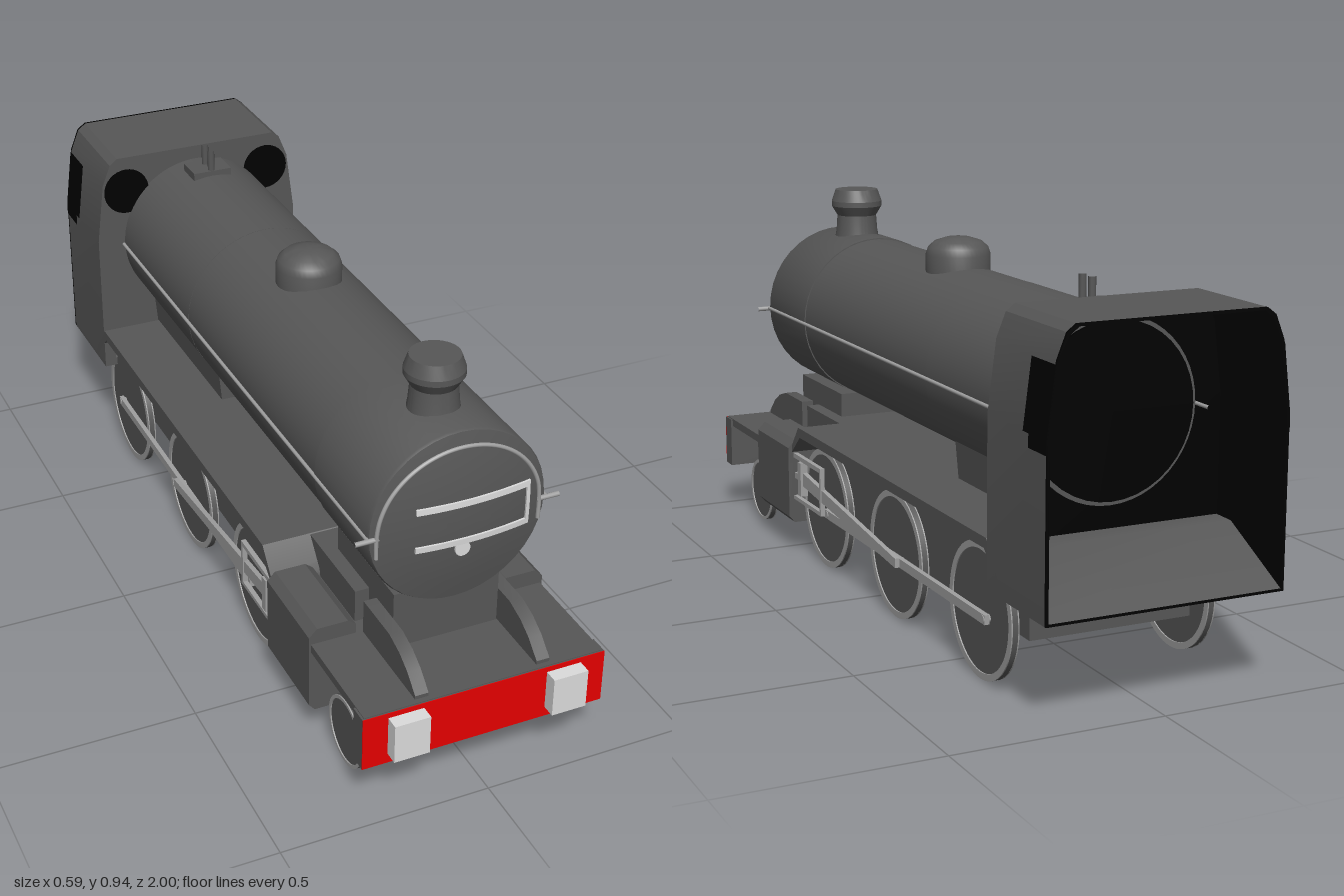
import * as THREE from 'three';
import { toCreasedNormals } from 'three/addons/utils/BufferGeometryUtils.js';

const mat = (name, color) => {
  const m = new THREE.MeshStandardMaterial({ color });
  m.name = name;
  return m;
};

export function createModel() {
  const dark = mat('dark grey paint', 0x575757);
  const black = mat('black', 0x000000);
  const red = mat('red paint', 0xe60000);
  const light = mat('light grey', 0xdcdcdc);
  const steel = mat('steel', 0xa0a0a0);

  const model = new THREE.Group();
  model.name = 'steamLocomotive';

  // ---- helpers ----
  const add = (name, geo, material) => {
    const m = new THREE.Mesh(geo, material);
    m.name = name;
    model.add(m);
    return m;
  };
  // box given by its limits
  const box = (name, material, x0, x1, y0, y1, z0, z1) =>
    add(name, new THREE.BoxGeometry(x1 - x0, y1 - y0, z1 - z0)
      .translate((x0 + x1) / 2, (y0 + y1) / 2, (z0 + z1) / 2), material);
  const poly = pts => new THREE.Shape(pts.map(p => new THREE.Vector2(p[0], p[1])));
  // extrude an (x, y) shape from z0 to z1
  const alongZ = (shape, z0, z1) => toCreasedNormals(
    new THREE.ExtrudeGeometry(shape, { depth: z1 - z0, bevelEnabled: false, curveSegments: 32 })
      .translate(0, 0, z0), 0.5);
  // extrude a (z, y) shape from x0 to x1
  const alongX = (shape, x0, x1) => toCreasedNormals(
    new THREE.ExtrudeGeometry(shape, { depth: x1 - x0, bevelEnabled: false, curveSegments: 32 })
      .rotateY(-Math.PI / 2).translate(x1, 0, 0), 0.5);
  const lathe = (pts, crease) => toCreasedNormals(
    new THREE.LatheGeometry(pts.map(p => new THREE.Vector2(p[0], p[1])), 40), crease);
  // round bar between two points
  const bar = (name, material, a, b, r) => {
    const p = new THREE.Vector3(...a), q = new THREE.Vector3(...b);
    add(name, new THREE.TubeGeometry(new THREE.LineCurve3(p, q), 1, r, 10), material);
  };

  // ---- boiler, smokebox and firebox ----
  const cy = 0.604;
  const doorZ = r => 0.831 - 0.6 * r * r;
  add('boiler', new THREE.CylinderGeometry(0.21, 0.21, 1.29, 48)
    .rotateX(Math.PI / 2).translate(0, cy, -0.105), dark);
  const door = [0.21, 0.16, 0.11, 0.06, 0].map(r => [r, doorZ(r)]);
  add('smokebox', lathe([[0, 0.53], [0.213, 0.53], [0.213, 0.798], ...door], 0.6)
    .rotateX(Math.PI / 2).translate(0, cy, 0), dark);
  const fire = new THREE.Shape();
  fire.moveTo(-0.125, 0.34);
  fire.lineTo(0.125, 0.34);
  fire.absarc(0, cy, 0.2105, -0.88, Math.PI + 0.88, false);
  fire.lineTo(-0.125, 0.34);
  add('firebox', alongZ(fire, -0.735, -0.25), dark);

  // ---- boiler fittings ----
  add('chimney', lathe([[0.062, 0.79], [0.056, 0.825], [0.053, 0.865], [0.068, 0.89], [0.068, 0.904], [0.057, 0.935], [0, 0.935]], 0.3)
    .translate(0, 0, 0.675), dark);
  add('dome', lathe([[0.08, 0.78], [0.08, 0.842], [0.074, 0.86], [0.058, 0.874], [0.03, 0.883], [0, 0.885]], 0.6)
    .translate(0, 0, 0.02), dark);
  box('valveBase', dark, -0.052, 0.052, 0.8, 0.828, -0.68, -0.605);
  for (const z of [-0.615, -0.658]) bar('safetyValve', dark, [0, 0.82, z], [0, 0.882, z], 0.009);

  // ---- smokebox door straps and knob, bent to the door ----
  const strap = (name, x0, x1, y0, y1) => {
    const g = new THREE.BoxGeometry(x1 - x0, y1 - y0, 0.008, 12, 6, 1)
      .translate((x0 + x1) / 2, (y0 + y1) / 2, 0);
    const p = g.attributes.position;
    for (let i = 0; i < p.count; i++)
      p.setZ(i, p.getZ(i) + doorZ(Math.hypot(p.getX(i), p.getY(i) - cy)) + 0.001);
    g.computeVertexNormals();
    add(name, g, light);
  };
  strap('upperStrap', -0.11, 0.167, 0.645, 0.659);
  strap('lowerStrap', -0.11, 0.167, 0.549, 0.563);
  strap('strapPost', 0.158, 0.167, 0.563, 0.645);
  add('doorKnob', new THREE.CylinderGeometry(0.018, 0.018, 0.012, 20)
    .rotateX(Math.PI / 2).translate(0, 0.537, 0.828), light);

  // ---- front handrail ----
  const arc = [[-0.195, 0.55, 0.81], [-0.195, 0.6, 0.81]];
  for (let i = 1; i < 12; i++) {
    const t = Math.PI * (1 - i / 12);
    arc.push([0.195 * Math.cos(t), 0.6 + 0.18 * Math.sin(t), 0.812]);
  }
  arc.push([0.195, 0.6, 0.81], [0.195, 0.55, 0.81]);
  add('frontHandrail', new THREE.TubeGeometry(
    new THREE.CatmullRomCurve3(arc.map(p => new THREE.Vector3(...p))), 60, 0.005, 8), steel);

  // ---- cab ----
  const cabHalf = [[0.285, 0.235], [0.285, 0.62], [0.265, 0.78], [0.243, 0.835], [0.222, 0.851]];
  const cabOutline = inset => {
    const h = cabHalf.map(([x, y]) => [x - inset, y + (y < 0.3 ? inset : y > 0.83 ? -inset : 0)]);
    return [...h, ...h.map(([x, y]) => [-x, y]).reverse()];
  };
  const ring = (a, b) => {
    const s = poly(cabOutline(a));
    s.holes.push(poly(cabOutline(b)));
    return s;
  };
  add('cabShell', alongZ(ring(0, 0.003), -0.994, -0.73), dark);
  add('cabLining', alongZ(ring(0.003, 0.006), -0.994, -0.735), black);
  add('cabRearEdge', alongZ(ring(0, 0.006), -1, -0.994), black);
  add('cabFront', alongZ(poly(cabOutline(0.002)), -0.737, -0.73), dark);
  add('cabFrontLining', alongZ(poly(cabOutline(0.005)), -0.742, -0.737), black);
  add('backhead', new THREE.CylinderGeometry(0.2, 0.2, 0.02, 40)
    .rotateX(Math.PI / 2).translate(0, cy, -0.748), black);
  add('cabFloor', alongX(poly([[-0.999, 0.241], [-0.74, 0.241], [-0.74, 0.34], [-0.8, 0.34]]), -0.278, 0.278), dark);

  // ---- main frame, footplate and saddle ----
  box('lowerFrame', dark, -0.13, 0.13, 0.07, 0.34, 0.41, 0.69);
  box('mainFrame', dark, -0.2, 0.2, 0.12, 0.335, -0.765, 0.39);
  add('runningBoard', alongX(poly([[0.46, 0.265], [0.455, 0.285], [0.4, 0.35], [-0.725, 0.35], [-0.8, 0.265],
    [-0.8, 0.237], [-0.715, 0.325], [0.39, 0.325]]), -0.285, 0.285), dark);
  box('frontPlatform', dark, -0.29, 0.29, 0.245, 0.266, 0.45, 0.962);
  box('saddle', dark, -0.13, 0.13, 0.26, 0.41, 0.48, 0.77);
  box('saddleFoot', dark, -0.165, 0.165, 0.26, 0.348, 0.4, 0.648);
  box('beamBlock', dark, -0.295, 0.295, 0.13, 0.264, 0.92, 0.965);
  box('bufferBeam', red, -0.295, 0.295, 0.13, 0.264, 0.965, 0.967);
  bar('brakeShaft', dark, [-0.205, 0.102, 0.33], [0.205, 0.102, 0.33], 0.012);

  const bracket = poly([[0.95, 0.262], [0.95, 0.275], [0.91, 0.312], [0.87, 0.335], [0.82, 0.35], [0.69, 0.35], [0.69, 0.262]]);
  const cylinder = [[0.18, 0.08], [0.28, 0.08], [0.295, 0.097], [0.295, 0.285], [0.275, 0.305], [0.2, 0.305], [0.18, 0.29]];

  // ---- wheels: dark tread with a steel rim on each face ----
  const wheel = (name, s, z, r) => {
    add(name, new THREE.CylinderGeometry(r, r, 0.013, 40)
      .rotateZ(Math.PI / 2).translate(s * 0.244, r, z), dark);
    const rim = new THREE.Shape().absarc(z, r, r, 0, Math.PI * 2, false);
    rim.holes.push(new THREE.Path().absarc(z, r, r * 0.9, 0, Math.PI * 2, true));
    for (const x of [-0.008, 0.008])
      add(name + 'Rim', alongX(rim, s * 0.244 + x - 0.0015, s * 0.244 + x + 0.0015), steel);
  };
  const driving = [0.29, -0.165, -0.63];
  for (const z of driving) bar('drivingAxle', dark, [-0.24, 0.155, z], [0.24, 0.155, z], 0.016);
  const connectingRod = poly([[0.4, 0.194], [0.4, 0.23], [-0.22, 0.163], [-0.22, 0.14]]);

  // ---- parts on both sides ----
  for (const s of [1, -1]) {
    const side = (name, m, x0, x1, ...r) =>
      box(name, m, Math.min(s * x0, s * x1), Math.max(s * x0, s * x1), ...r);

    side('buffer', light, 0.15, 0.235, 0.155, 0.252, 0.967, 1);
    side('frontFrame', dark, 0.185, 0.215, 0.131, 0.25, 0.68, 0.925);
    add('frontBracket', alongX(bracket, s * 0.148 - 0.016, s * 0.148 + 0.016), dark);
    add('cylinderBlock', alongZ(poly(cylinder.map(([x, y]) => [s * x, y])), 0.45, 0.687), dark);

    // cab windows
    add('cabFrontWindow', new THREE.CylinderGeometry(0.062, 0.062, 0.006, 32)
      .rotateX(Math.PI / 2).translate(s * 0.2, 0.755, -0.729), black);
    const win = [[0.2865, 0.62], [0.2675, 0.772], [0.262, 0.772], [0.282, 0.62]];
    add('cabSideWindow', alongZ(poly(win.map(([x, y]) => [s * x, y])), -0.999, -0.895), black);
    side('cabSideWindowFoot', black, 0.282, 0.2865, 0.59, 0.62, -0.999, -0.92);

    // boiler handrail, running on into the cab
    bar('sideHandrail', steel, [s * 0.214, 0.6, -0.8], [s * 0.214, 0.6, 0.81], 0.0045);
    bar('handrailEnd', steel, [s * 0.19, 0.598, 0.808], [s * 0.245, 0.598, 0.808], 0.006);

    // wheels and motion
    wheel('leadingWheel', s, 0.79, 0.085);
    for (const z of driving) {
      wheel('drivingWheel', s, z, 0.156);
      bar('crankPin', steel, [s * 0.24, 0.15, z - 0.04], [s * 0.268, 0.15, z - 0.04], 0.01);
    }
    side('couplingRod', steel, 0.254, 0.266, 0.139, 0.161, -0.68, 0.27);
    add('connectingRod', alongX(connectingRod, s * 0.272 - 0.006, s * 0.272 + 0.006), steel);
    side('upperSlideBar', steel, 0.269, 0.281, 0.259, 0.271, 0.255, 0.45);
    side('lowerSlideBar', steel, 0.269, 0.281, 0.145, 0.155, 0.255, 0.45);
    side('pistonRod', steel, 0.266, 0.278, 0.202, 0.218, 0.38, 0.46);
    side('slideBarEnd', steel, 0.269, 0.281, 0.145, 0.271, 0.255, 0.265);
    side('crosshead', steel, 0.264, 0.284, 0.165, 0.255, 0.39, 0.412);
  }
  return model;
}
